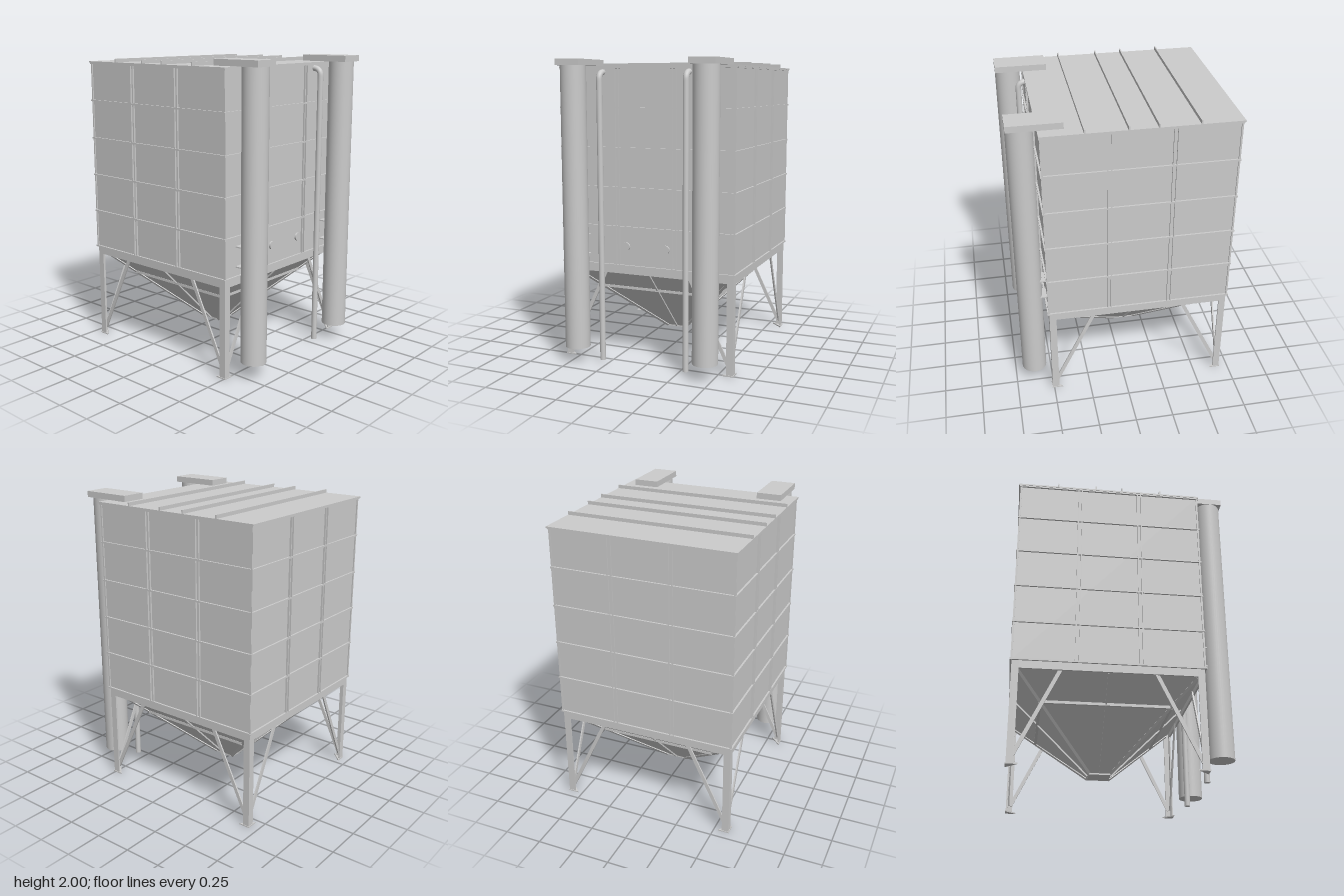
import * as THREE from 'three';

const mat = new THREE.MeshStandardMaterial({ color: 0xcccccc, flatShading: true, side: THREE.DoubleSide });
const smooth = new THREE.MeshStandardMaterial({ color: 0xcccccc, side: THREE.DoubleSide });

function add(parent, name, geo, x = 0, y = 0, z = 0, m = mat) {
  const mesh = new THREE.Mesh(geo, m);
  mesh.name = name;
  mesh.position.set(x, y, z);
  parent.add(mesh);
  return mesh;
}
const box = (p, name, w, h, d, x, y, z) => add(p, name, new THREE.BoxGeometry(w, h, d), x, y, z);

// Bar between two points
function bar(p, name, a, b, w, d) {
  const from = new THREE.Vector3(...a), to = new THREE.Vector3(...b);
  const dir = to.clone().sub(from);
  const mid = from.clone().add(to).multiplyScalar(0.5);
  const mesh = box(p, name, w, dir.length(), d, mid.x, mid.y, mid.z);
  mesh.quaternion.setFromUnitVectors(new THREE.Vector3(0, 1, 0), dir.normalize());
  return mesh;
}

// Upright prism from a plan outline given as [x, z] points
function prism(points, height) {
  const shape = new THREE.Shape(points.map(([x, z]) => new THREE.Vector2(x, -z)));
  return new THREE.ExtrudeGeometry(shape, { depth: height, bevelEnabled: false }).rotateX(-Math.PI / 2);
}

const HALF = 0.6, BOTTOM = 0.66, TOP = 1.95;

// One of the four identical sides, facing +z
function buildSide() {
  const side = new THREE.Group();
  side.name = 'side';
  // Horizontal panel joints
  for (let i = 0; i <= 5; i++) {
    const y = BOTTOM + 0.258 * i;
    box(side, 'panelJoint', 1.224, 0.011, 0.014, 0, Math.min(y, TOP - 0.006), HALF + 0.005);
  }
  // Paired flanges of the vertical joints, and corner edges
  for (const x of [-0.2, 0.2])
    for (const s of [-1, 1])
      box(side, 'verticalFlange', 0.007, TOP - BOTTOM, 0.014, x + s * 0.012, (TOP + BOTTOM) / 2, HALF + 0.005);
  for (const s of [-1, 1])
    box(side, 'cornerFlange', 0.012, TOP - BOTTOM, 0.01, s * 0.602, (TOP + BOTTOM) / 2, HALF + 0.001);

  // Ring beam and diagonal braces
  box(side, 'ringBeam', 1.2, 0.055, 0.012, 0, 0.632, 0.594);
  for (const s of [-1, 1])
    bar(side, 'brace', [s * 0.57, 0.05, 0.582], [s * 0.295, 0.62, 0.582], 0.024, 0.01);

  // Hopper stiffeners
  box(side, 'hopperStiffener', 0.82, 0.018, 0.018, 0, 0.462, 0.414);
  bar(side, 'hopperRib', [0, 0.12, 0.074], [0, 0.61, 0.564], 0.01, 0.014);
  bar(side, 'hopperHip', [0.07, 0.12, 0.07], [0.56, 0.61, 0.56], 0.018, 0.018);

  // Angle-section leg with a triangular foot plate
  const o = HALF, i = 0.555, t = 0.01;
  add(side, 'leg', prism([[o, o], [i, o], [i, o - t], [o - t, o - t], [o - t, i], [o, i]], BOTTOM));
  add(side, 'footPlate', prism([[o + 0.004, o + 0.004], [0.53, o + 0.004], [o + 0.004, 0.53]], 0.008));
  return side;
}

// Elevator pipe with hood on the front
function buildElevator(s) {
  const g = new THREE.Group();
  g.name = 'elevator';
  const x = s * 0.453;
  add(g, 'elevatorPipe', new THREE.CylinderGeometry(0.083, 0.083, 1.86, 40), x, 1.04, 0.621, smooth);
  box(g, 'elevatorHood', 0.168, 0.04, 0.34, x, 1.98, 0.535);
  for (const y of [0.725, 0.855]) box(g, 'pipeBracket', 0.1, 0.008, 0.06, x, y, 0.535);
  return g;
}

// Slim filling pipe with a bend into the wall
function buildFillPipe(s) {
  const path = new THREE.CurvePath();
  const v = (y, z) => new THREE.Vector3(s * 0.298, y, z);
  path.add(new THREE.LineCurve3(v(0.015, 0.562), v(1.87, 0.562)));
  path.add(new THREE.QuadraticBezierCurve3(v(1.87, 0.562), v(1.918, 0.562), v(1.918, 0.5)));
  const g = new THREE.Group();
  g.name = 'fillPipe';
  add(g, 'pipe', new THREE.TubeGeometry(path, 160, 0.019, 20), 0, 0, 0, smooth);
  add(g, 'pipeEnd', new THREE.CircleGeometry(0.019, 20).rotateX(Math.PI / 2), s * 0.298, 0.015, 0.562);
  return g;
}

export function createModel() {
  const model = new THREE.Group();
  model.name = 'silo';

  // Square bin, set back from the front pipes
  const bin = new THREE.Group();
  bin.name = 'bin';
  bin.position.z = -0.09;
  model.add(bin);
  box(bin, 'binWalls', HALF * 2, TOP - BOTTOM, HALF * 2, 0, (TOP + BOTTOM) / 2, 0);
  box(bin, 'roof', 1.23, 0.01, 1.23, 0, 1.952, -0.003);
  for (const z of [-0.44, -0.185, -0.005, 0.255])
    box(bin, 'roofRib', 1.23, 0.024, 0.009, 0, 1.968, z + 0.09);

  // Hopper and outlet
  const hopper = new THREE.CylinderGeometry(0.59 * Math.SQRT2, 0.07 * Math.SQRT2, 0.52, 4, 1, true);
  add(bin, 'hopper', hopper.rotateY(Math.PI / 4), 0, 0.38, 0);
  box(bin, 'outlet', 0.14, 0.014, 0.14, 0, 0.117, 0);

  for (let k = 0; k < 4; k++) {
    const side = buildSide();
    side.rotation.y = k * Math.PI / 2;
    bin.add(side);
  }

  // Front fittings
  for (const s of [-1, 1]) {
    model.add(buildElevator(s), buildFillPipe(s));
    add(model, 'sightGlass', new THREE.CylinderGeometry(0.027, 0.027, 0.016, 28).rotateX(Math.PI / 2), s * 0.14, 0.79, 0.514);
  }
  return model;
}
